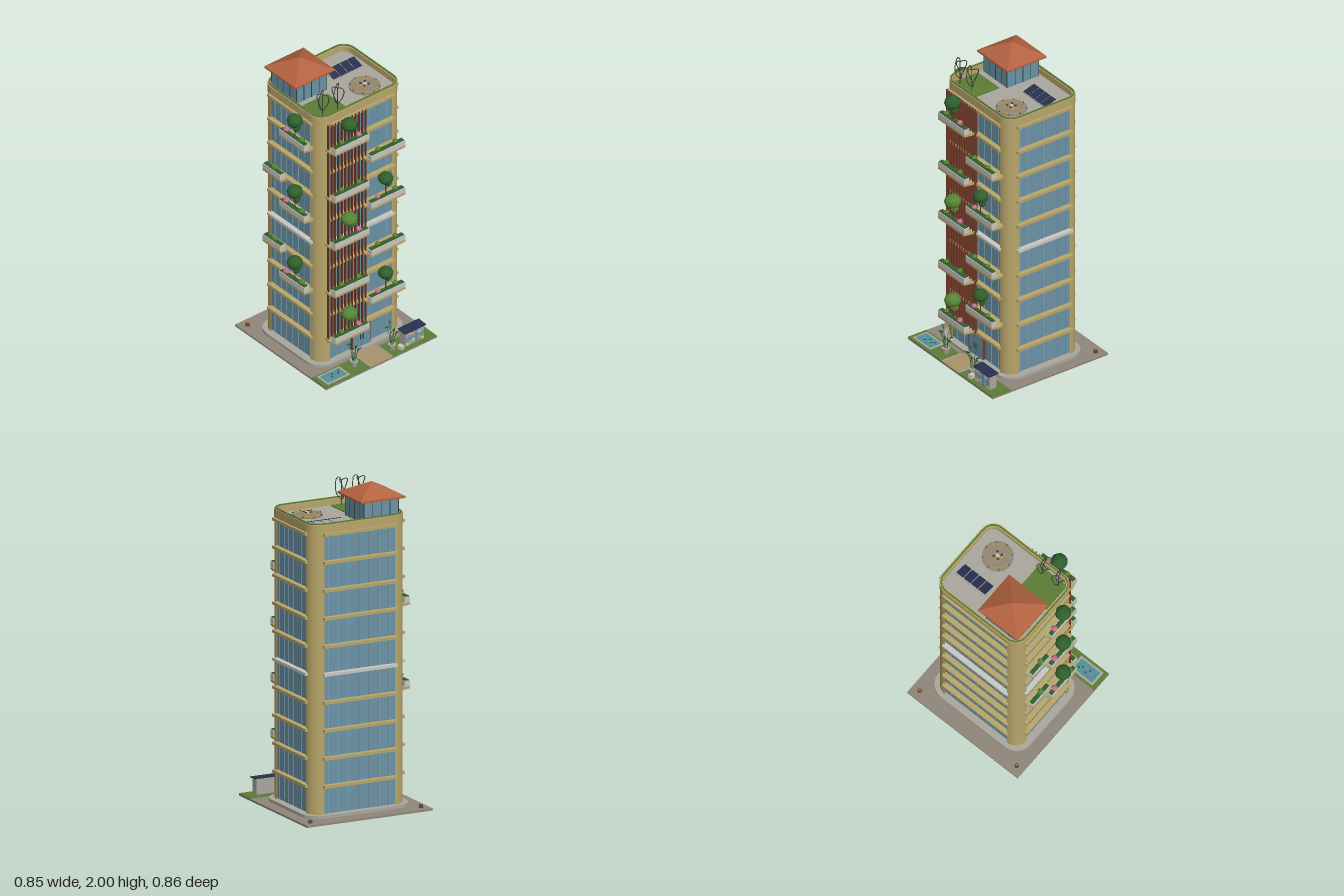
import * as THREE from 'three';

const mat = (color, flatShading = false) =>
  new THREE.MeshStandardMaterial({ color, flatShading, side: THREE.DoubleSide });
const M = {
  tan: mat(0xb9a66b), glass: mat(0x6a93a7), grey: mat(0xaaa79f), light: mat(0xc9c7c0), paving: mat(0x8f877b),
  grass: mat(0x5c7d36), leaf: mat(0x2f5f2c, true), lime: mat(0x558536, true), pink: mat(0xc8718f, true),
  brown: mat(0x6e3826), bark: mat(0x5a4632), tile: mat(0xb3623f, true), navy: mat(0x27304f), dark: mat(0x3f423f),
  water: mat(0x4f929b), path: mat(0xa8946b), yellow: mat(0xc09a3c), mullion: mat(0x8aa9b5),
};
const CZ = -0.0325, HX = 0.322, HZ = 0.268, DECK = 1.775;

function add(parent, name, geo, material, x = 0, y = 0, z = 0) {
  const m = new THREE.Mesh(geo, material);
  m.name = name;
  m.position.set(x, y, z);
  parent.add(m);
  return m;
}
// box given by its limits
const box = (p, name, material, x0, x1, y0, y1, z0, z1) =>
  add(p, name, new THREE.BoxGeometry(x1 - x0, y1 - y0, z1 - z0), material, (x0 + x1) / 2, (y0 + y1) / 2, (z0 + z1) / 2);
const cyl = (p, name, material, r, h, x, y, z, n = 12, r2 = r) =>
  add(p, name, new THREE.CylinderGeometry(r2, r, h, n), material, x, y + h / 2, z);
function tube(p, name, material, pts, r) {
  const curve = new THREE.CatmullRomCurve3(pts.map(a => new THREE.Vector3(...a)));
  return add(p, name, new THREE.TubeGeometry(curve, 10, r, 5), material);
}
// extrude a plan shape (plan y = -z) upwards
function prism(p, name, material, shape, y0, y1, z = 0) {
  const geo = new THREE.ExtrudeGeometry(shape, { depth: y1 - y0, bevelEnabled: false, curveSegments: 6 });
  return add(p, name, geo.rotateX(-Math.PI / 2), material, 0, y0, z);
}
function rounded(hx, hz, r, S = THREE.Shape) {
  const s = new S();
  [[1, 1], [-1, 1], [-1, -1], [1, -1]].forEach(([sx, sz], i) =>
    s.absarc(sx * (hx - r), sz * (hz - r), r, i * Math.PI / 2, (i + 1) * Math.PI / 2));
  s.closePath();
  return s;
}
function ring(hx, hz, r, t) {
  const s = rounded(hx, hz, r);
  s.holes.push(rounded(hx - t, hz - t, r - t, THREE.Path));
  return s;
}
function bush(p, name, material, r, x, y, z, sy = 1) {
  const m = add(p, name, new THREE.IcosahedronGeometry(r, r > 0.03 ? 1 : 0), material, x, y, z);
  m.scale.y = sy;
  m.rotation.y = x * 20 + y * 7;
}

// planted balcony: wall at local z = 0, facing +z
function balcony(parent, x, y, z, turn, w, depth, plants) {
  const g = new THREE.Group();
  g.name = 'plantedBalcony';
  g.position.set(x, y, z);
  g.rotation.y = turn;
  parent.add(g);
  const h = w / 2, s = new THREE.Shape();
  [[-h - 0.005, 0], [h + 0.005, 0], [h + 0.012, -depth * 0.3], [h, -depth], [-h, -depth], [-h - 0.012, -depth * 0.3]]
    .forEach(([a, b], i) => (i ? s.lineTo(a, b) : s.moveTo(a, b)));
  prism(g, 'balconySlab', M.tan, s, -0.006, 0.008);
  const z1 = depth, z0 = depth - 0.037, zc = (z0 + z1) / 2;
  box(g, 'planterTrough', M.light, -h, h, 0.008, 0.043, z0, z1);
  box(g, 'planterSoil', M.leaf, -h + 0.005, h - 0.005, 0.043, 0.048, z0 + 0.005, z1 - 0.005);
  for (const [kind, px, r] of plants) {
    if (kind === 'tree' || kind === 'limeTree') {
      const m = kind === 'tree' ? M.leaf : M.lime;
      cyl(g, 'treeTrunk', M.bark, 0.004, 0.12, px, 0.04, zc, 6);
      bush(g, 'treeCrown', m, r, px, 0.165, zc, 0.85);
      bush(g, 'treeCrownLower', m, r * 0.55, px + r * 0.35, 0.125, zc);
    } else bush(g, 'bush', kind === 'pink' ? M.pink : M.lime, r, px, 0.06, zc, 0.9);
  }
}

function buildTower(g) {
  prism(g, 'plinth', M.grey, rounded(0.355, 0.297, 0.11), 0.012, 0.03, CZ);
  prism(g, 'glassCore', M.glass, rounded(HX - 0.015, HZ - 0.015, 0.07), 0.03, 1.765, CZ);
  // rounded corner columns
  const r = 0.083;
  for (const [sx, sz, i] of [[1, 1, 0], [-1, 1, 1], [-1, -1, 2], [1, -1, 3]]) {
    const cx = sx * (HX - r), cz = sz * (HZ - r), s = new THREE.Shape();
    s.moveTo(cx, cz);
    s.absarc(cx, cz, r, i * Math.PI / 2, (i + 1) * Math.PI / 2);
    prism(g, 'cornerColumn', M.tan, s, 0.03, 1.765, CZ);
  }
  // floor ledges on all four sides
  for (let i = 0; i < 10; i++) {
    const y = 0.2 + i * 0.1727, m = i === 4 ? M.light : M.tan;
    for (const s of [-1, 1]) {
      const lx = s * (HX + 0.001), lz = CZ + s * (HZ + 0.001);
      box(g, 'sideLedge', m, lx - 0.016, lx + 0.016, y - 0.009, y + 0.009, CZ - 0.205, CZ + 0.205);
      box(g, 'frontBackLedge', m, -0.25, 0.25, y - 0.009, y + 0.009, lz - 0.016, lz + 0.016);
    }
  }
  // window mullions
  for (const s of [-1, 1]) {
    for (let i = -3; i <= 3; i++) {
      const z = CZ + i * 0.055, x = i * 0.068, gx = s * (HX - 0.015), gz = CZ + s * (HZ - 0.015);
      box(g, 'sideMullion', M.mullion, gx - 0.003, gx + 0.003, 0.03, 1.76, z - 0.0015, z + 0.0015);
      box(g, 'mullion', M.mullion, x - 0.0015, x + 0.0015, 0.03, 1.76, gz - 0.003, gz + 0.003);
    }
  }
  // crown, deck and parapet
  prism(g, 'roofDeck', M.grey, rounded(HX - 0.008, HZ - 0.008, 0.08), 1.755, DECK, CZ);
  prism(g, 'parapet', M.tan, ring(HX + 0.003, HZ + 0.003, 0.088, 0.022), 1.755, 1.815, CZ);
  prism(g, 'parapetPlanting', M.grass, ring(HX - 0.003, HZ - 0.003, 0.082, 0.009), 1.815, 1.822, CZ);
  // vertical timber screen
  for (let i = 0; i < 12; i++) {
    const x = -0.268 + i * 0.0262;
    box(g, 'screenSlat', M.brown, x - 0.0025, x + 0.0025, 0.2, 1.762, 0.243, 0.26);
  }
  // entrance
  box(g, 'doorFrame', M.brown, -0.072, 0.072, 0.03, 0.182, 0.22, 0.237);
  for (const s of [-1, 1]) {
    box(g, 'doorLeaf', M.glass, s * 0.034 - 0.032, s * 0.034 + 0.032, 0.03, 0.174, 0.225, 0.24);
    box(g, 'doorHandle', M.dark, s * 0.01 - 0.002, s * 0.01 + 0.002, 0.08, 0.12, 0.24, 0.245);
  }
}

function buildBalconies(g) {
  for (let i = 0; i < 5; i++) {
    const even = i % 2 === 0, plants = [['bush', -0.07, 0.018], [even ? 'pink' : 'bush', 0.065, 0.02]];
    if (even) plants.push([i === 4 ? 'tree' : 'limeTree', -0.008, 0.052]);
    balcony(g, -0.138, 0.2 + i * 0.3454, 0.235, 0, 0.262, 0.085, plants);
  }
  for (let i = 0; i < 4; i++) {
    const even = i % 2 === 0, plants = [[even ? 'pink' : 'bush', -0.067, 0.018], ['bush', 0.067, 0.017]];
    if (even) plants.push(['tree', -0.005, 0.047]);
    balcony(g, 0.14, 0.3727 + i * 0.3454, 0.235, 0, 0.262, 0.085, plants);
  }
  // right-hand wall, two staggered columns
  for (const y of [0.5454, 1.0635, 1.5816])
    balcony(g, -HX, y, 0.055, -Math.PI / 2, 0.235, 0.068, [['tree', 0.01, 0.05], ['pink', -0.07, 0.022], ['bush', 0.075, 0.022]]);
  for (const y of [0.718, 1.2362])
    balcony(g, -HX, y, -0.145, -Math.PI / 2, 0.165, 0.058, [['bush', 0.012, 0.023]]);
}

function buildRoof(g) {
  // roof house with hipped roof
  box(g, 'roofHouse', M.glass, -0.282, -0.048, DECK, 1.915, -0.262, -0.03);
  for (let i = 0; i <= 4; i++) for (const s of [-1, 1]) {
    const a = -0.165 + (i - 2) * 0.0585, b = -0.146 + (i - 2) * 0.058, x = -0.165 + s * 0.117, z = -0.146 + s * 0.116;
    box(g, 'roofHousePost', M.dark, a - 0.002, a + 0.002, DECK, 1.915, z - 0.002, z + 0.002);
    box(g, 'roofHousePost', M.dark, x - 0.002, x + 0.002, DECK, 1.915, b - 0.002, b + 0.002);
  }
  box(g, 'eaves', M.tile, -0.312, -0.01, 1.91, 1.922, -0.293, -0.002);
  const hip = new THREE.ConeGeometry(Math.SQRT1_2, 1, 4).rotateY(Math.PI / 4).scale(0.302, 0.078, 0.291);
  add(g, 'hippedRoof', hip, M.tile, -0.161, 1.961, -0.1475);
  box(g, 'roofLawn', M.grass, -0.29, -0.075, DECK, DECK + 0.006, 0.01, 0.203);
  // vertical-axis wind turbines
  for (const tx of [-0.247, -0.13]) {
    cyl(g, 'turbineMast', M.dark, 0.003, 0.16, tx, DECK, 0.172, 6);
    for (let k = 0; k < 3; k++) {
      const pts = [[0.006, 1.82, 0], [0.028, 1.85, 0.3], [0.038, 1.9, 0.8], [0.038, 1.945, 1.3], [0.02, 1.947, 1.5], [0, 1.935, 1.6]]
        .map(([r, y, a]) => [tx + r * Math.cos(a + k * 2.094), y, 0.172 + r * Math.sin(a + k * 2.094)]);
      tube(g, 'turbineBlade', M.dark, pts, 0.003);
    }
  }
  // tilted solar panels
  for (let i = 0; i < 4; i++) {
    const x = 0.073 + i * 0.0565;
    box(g, 'solarStand', M.grey, x - 0.024, x + 0.024, DECK, DECK + 0.006, -0.162, -0.075);
    const p = box(g, 'solarPanel', M.navy, x - 0.025, x + 0.025, DECK + 0.016, DECK + 0.02, -0.16, -0.077);
    p.rotation.x = 0.3;
  }
  // landing pad with a small drone
  const px = 0.15, pz = 0.085;
  cyl(g, 'landingPad', M.paving, 0.096, 0.006, px, DECK, pz, 32);
  const rim = new THREE.TorusGeometry(0.073, 0.003, 6, 32).rotateX(Math.PI / 2);
  add(g, 'padRing', rim, M.yellow, px, DECK + 0.007, pz);
  for (let i = 0; i < 8; i++) {
    const a = i * Math.PI / 4;
    cyl(g, 'padLight', M.dark, 0.004, 0.006, px + 0.089 * Math.cos(a), DECK + 0.006, pz + 0.089 * Math.sin(a), 6);
  }
  box(g, 'droneBody', M.light, px - 0.01, px + 0.01, DECK + 0.012, DECK + 0.022, pz - 0.008, pz + 0.008);
  box(g, 'padMarkCross', M.yellow, px - 0.024, px + 0.024, DECK + 0.006, DECK + 0.009, pz - 0.004, pz + 0.004);
  for (const s of [-1, 1]) {
    box(g, 'padMarkBar', M.yellow, px + s * 0.024 - 0.004, px + s * 0.024 + 0.004, DECK + 0.006, DECK + 0.009, pz - 0.038, pz + 0.038);
    for (const t of [-1, 1]) cyl(g, 'droneRotor', M.dark, 0.008, 0.004, px + s * 0.017, DECK + 0.018, pz + t * 0.018, 8);
  }
}

function buildGrounds(g) {
  box(g, 'groundSlab', M.paving, -0.427, 0.427, 0, 0.012, -0.428, 0.427);
  for (const s of [-1, 1]) {
    const a = s * 0.256;
    box(g, 'lawn', M.grass, a - 0.171, a + 0.171, 0.011, 0.015, 0.29, 0.427);
    box(g, 'pathKerb', M.grey, s * 0.083 - 0.004, s * 0.083 + 0.004, 0.012, 0.019, 0.29, 0.427);
    cyl(g, 'bollard', M.bark, 0.014, 0.02, s * 0.375, 0.012, -0.373, 8, 0.011);
    bush(g, 'bollardCap', M.tile, 0.011, s * 0.375, 0.033, -0.373, 0.4);
  }
  box(g, 'path', M.path, -0.079, 0.079, 0.011, 0.016, 0.25, 0.427);
  // pool with lily pads
  box(g, 'poolKerb', M.grey, -0.4, -0.228, 0.012, 0.019, 0.305, 0.41);
  box(g, 'poolWater', M.water, -0.386, -0.242, 0.014, 0.021, 0.318, 0.397);
  for (let i = 0; i < 6; i++)
    cyl(g, 'lilyPad', i % 3 ? M.leaf : M.pink, 0.007, 0.002, -0.35 + i * 0.017, 0.021, 0.357 + 0.014 * Math.sin(i * 2.3), 7);
  // bamboo clumps in stone pots
  for (const [bx, bz] of [[-0.15, 0.35], [0.135, 0.36]]) {
    cyl(g, 'stonePot', M.grey, 0.02, 0.035, bx, 0.014, bz, 8, 0.026);
    for (let i = 0; i < 7; i++) {
      const a = i * 2.4, h = 0.1 + 0.014 * ((i * 3) % 7), c = Math.cos(a), s = Math.sin(a);
      tube(g, 'bambooStem', M.leaf, [[bx + c * 0.01, 0.04, bz + s * 0.01], [bx + c * 0.02, 0.04 + h * 0.5, bz + s * 0.015],
        [bx + c * 0.042, 0.02 + h, bz + s * 0.035]], 0.0018);
      const l = add(g, 'bambooLeaf', new THREE.ConeGeometry(0.006, 0.035, 4), M.leaf, bx + c * 0.042, 0.015 + h, bz + s * 0.035);
      l.rotation.set(s * 1.2, 0, -c * 1.2);
    }
  }
  const stone = box(g, 'seatStone', M.light, 0.16, 0.188, 0.014, 0.04, 0.38, 0.412);
  stone.rotation.y = 0.2;
  // tiled store with solar roof
  box(g, 'store', M.grey, 0.21, 0.352, 0.014, 0.11, 0.342, 0.396);
  const tiles = [M.light, M.mullion, M.path, M.grey, M.glass];
  for (let r = 0; r < 5; r++) for (let c = 0; c < 6; c++) {
    const x = 0.212 + c * 0.0233, y = 0.017 + r * 0.0185;
    box(g, 'storeTile', tiles[(c * 3 + r * 2 + c * r) % 5], x, x + 0.0213, y, y + 0.0165, 0.395, 0.399);
  }
  const lid = box(g, 'storeSolarRoof', M.navy, 0.2, 0.362, 0.111, 0.117, 0.335, 0.405);
  lid.rotation.x = 0.06;
}

export function createModel() {
  const root = new THREE.Group();
  root.name = 'gardenTower';
  const parts = { grounds: buildGrounds, tower: buildTower, balconies: buildBalconies, roofTop: buildRoof };
  for (const [name, build] of Object.entries(parts)) {
    const g = new THREE.Group();
    g.name = name;
    build(g);
    root.add(g);
  }
  return root;
}
